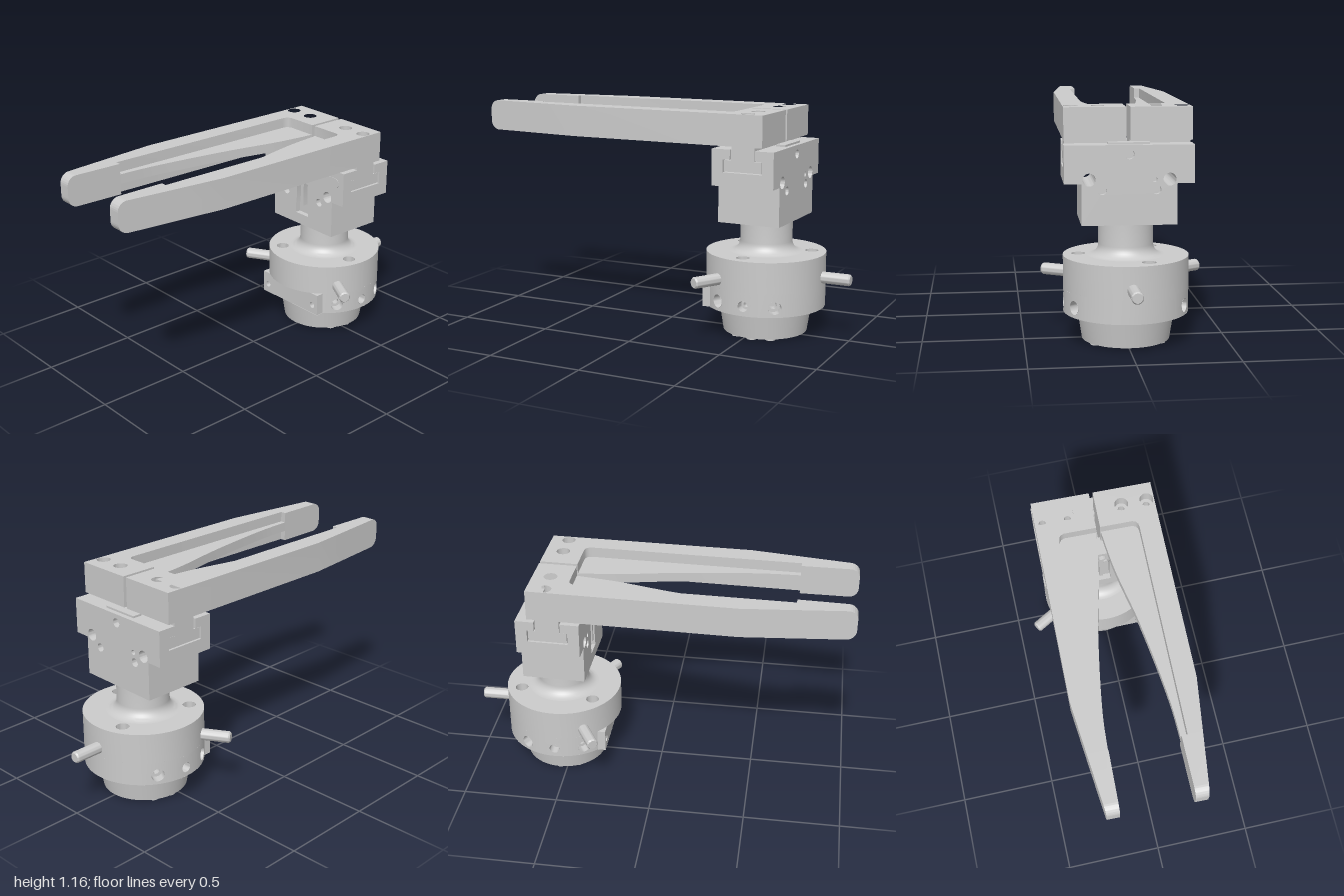
import * as THREE from 'three';
import { toCreasedNormals } from 'three/addons/utils/BufferGeometryUtils.js';

const grey = new THREE.MeshStandardMaterial({ color: 0xcccccc });
const thin = new THREE.MeshStandardMaterial({ color: 0xcccccc, side: THREE.DoubleSide });
const PI = Math.PI, UP = new THREE.Vector3(0, 1, 0);
const R = 0.31; // radius of the base disc

function add(parent, name, geo, mat = grey, crease = true) {
  const mesh = new THREE.Mesh(crease ? toCreasedNormals(geo, 0.6) : geo, mat);
  mesh.name = name;
  parent.add(mesh);
  return mesh;
}
const poly = (pts) => new THREE.Shape(pts.map(([x, y]) => new THREE.Vector2(x, y)));
const lathe = (pts, seg = 72) => new THREE.LatheGeometry(pts.map(([x, y]) => new THREE.Vector2(x, y)), seg);
const circle = (x, y, r) => new THREE.Path().absarc(x, y, r, 0, PI * 2, true);
const extrude = (shape, depth) =>
  new THREE.ExtrudeGeometry(shape, { depth, bevelEnabled: false, curveSegments: 20 });
// Plan outline (x, z) raised from y0 to y1
const slab = (shape, y0, y1) => extrude(shape, y1 - y0).rotateX(PI / 2).translate(0, y1, 0);
// Side outline (z, y) swept from x0 to x1
const sweepX = (shape, x0, x1) => extrude(shape, x1 - x0).rotateY(-PI / 2).translate(x1, 0, 0);

// Blind hole lining, open towards dir, with an optional narrower second step
function well(parent, r, depth, pos, dir, r2 = 0) {
  const pts = [[r, 0], [r, -depth]];
  if (r2) pts.push([r2, -depth], [r2, -depth * 2], [0, -depth * 2]);
  else pts.push([0, -depth]);
  const m = add(parent, 'hole', lathe(pts, 24), thin);
  m.position.copy(pos);
  m.quaternion.setFromUnitVectors(UP, dir);
}

// Curved wall piece with a radial hole
function wallPatch(parent, angle, r) {
  const w = PI / 12, n = 8, low = [], high = [];
  for (let i = 0; i <= n; i++) {
    const u = (-w + (2 * w * i) / n) * R;
    low.push([u, 0.15]);
    high.unshift([u, 0.27]);
  }
  const shape = poly([...low, ...high]);
  shape.holes.push(circle(0, 0.2, r));
  const g = new THREE.ShapeGeometry(shape, 16), p = g.attributes.position, nor = g.attributes.normal;
  for (let i = 0; i < p.count; i++) {
    const a = angle - p.getX(i) / R;
    p.setXYZ(i, Math.cos(a) * R, p.getY(i), Math.sin(a) * R);
    nor.setXYZ(i, Math.cos(a), 0, Math.sin(a));
  }
  add(parent, 'discWall', g, thin, false);
  const d = new THREE.Vector3(Math.cos(angle), 0, Math.sin(angle));
  well(parent, r, 0.05, d.clone().multiplyScalar(R).setY(0.2), d, r * 0.55);
}

function buildBase() {
  const base = new THREE.Group();
  base.name = 'base';
  // Hollow tapered foot with screw heads
  add(base, 'foot', lathe([[0.15, 0.26], [0.15, 0.01], [0.218, 0.01], [0.24, 0.15]]), thin);
  for (const s of [0, PI]) for (const k of [-1, 0, 1]) {
    const a = s + (k * PI) / 6;
    add(base, 'footScrew', new THREE.CylinderGeometry(0.026, 0.026, 0.014, 20)
      .translate(Math.cos(a) * 0.184, 0.007, Math.sin(a) * 0.184));
  }
  // Upper disc rim and neck
  add(base, 'discRim', lathe([[0, 0.27], [R, 0.27], [R, 0.43]]), thin);
  const neck = [];
  for (let i = 0; i <= 8; i++) {
    const a = (i / 8) * PI / 2;
    neck.push([0.19 - 0.055 * Math.sin(a), 0.485 - 0.055 * Math.cos(a)]);
  }
  add(base, 'neck', lathe([...neck, [0.135, 0.61]]), thin);
  // Disc top with three mounting holes
  const top = new THREE.Shape().absarc(0, 0, R, 0, PI * 2);
  top.holes.push(circle(0, 0, 0.188));
  for (let i = 0; i < 3; i++) {
    const a = 0.147 + (i * PI * 2) / 3, x = Math.cos(a) * 0.235, z = Math.sin(a) * 0.235;
    top.holes.push(circle(x, -z, 0.034));
    well(base, 0.034, 0.05, new THREE.Vector3(x, 0.43, z), UP, 0.02);
  }
  add(base, 'discTop', new THREE.ShapeGeometry(top, 72).rotateX(-PI / 2).translate(0, 0.43, 0), thin);
  // Lower wall: drilled on both sides, plain at the back
  for (const s of [0, PI]) for (const k of [-1, 0, 1]) wallPatch(base, s + (k * PI) / 6, k ? 0.034 : 0.027);
  add(base, 'discBackWall',
    new THREE.CylinderGeometry(R, R, 0.12, 24, 1, true, PI * 0.75, PI / 2).translate(0, 0.21, 0), thin);
  // Underside with small holes
  const under = new THREE.Shape();
  under.moveTo(0.219, 0.262).lineTo(-0.219, 0.262);
  under.absarc(0, 0, R, PI * 0.75, PI * 2.25);
  under.holes.push(circle(0, 0, 0.2));
  for (let i = 0; i < 6; i++) {
    const a = PI / 12 + (i * PI) / 3, x = Math.cos(a) * 0.27, z = Math.sin(a) * 0.27;
    if (z > 0.24) continue;
    under.holes.push(circle(x, z, 0.02));
    well(base, 0.02, 0.03, new THREE.Vector3(x, 0.15, z), new THREE.Vector3(0, -1, 0));
  }
  add(base, 'discUnderside', new THREE.ShapeGeometry(under, 48).rotateX(PI / 2).translate(0, 0.15, 0), thin);
  // Flat front plate
  const plate = poly([[-0.219, 0.151], [0.219, 0.151], [0.219, 0.27], [-0.219, 0.27]]);
  for (const x of [-0.18, 0.18]) {
    plate.holes.push(circle(x, 0.2, 0.017));
    well(base, 0.017, 0.03, new THREE.Vector3(x, 0.2, 0.262), new THREE.Vector3(0, 0, 1));
  }
  add(base, 'frontPlate', extrude(plate, 0.08).translate(0, 0, 0.182));
  // Three radial rods
  for (let i = 0; i < 3; i++) {
    const rod = add(base, 'rod', lathe([[0, 0.25], [0.03, 0.25], [0.03, 0.452], [0.024, 0.46], [0, 0.46]], 28));
    rod.rotation.set(-PI / 2, 0, (i * PI * 2) / 3, 'YXZ');
    rod.rotation.set(-PI / 2, (i * PI * 2) / 3, 0, 'YXZ');
    rod.position.y = 0.315;
  }
  return base;
}

function bodyOutline(top) {
  return poly([[-0.23, 0.6], [0.23, 0.6], [0.23, 0.8], [0.312, 0.8], [0.312, top], [-0.312, top],
    [-0.312, 0.8], [-0.23, 0.8]]);
}

function buildBody(parent) {
  const body = new THREE.Group();
  body.name = 'gripperBody';
  parent.add(body);
  const through = [[-0.193, 0.82, 0.031], [0.193, 0.82, 0.031]];
  const blind = [[-0.13, 0.77, 0.022], [0.13, 0.77, 0.022], [0, 0.94, 0.023], [-0.12, 0.82, 0.013]];
  const drill = (shape, list) => list.forEach((h) => shape.holes.push(circle(...h)));
  // Core block
  const core = bodyOutline(0.87);
  drill(core, through);
  add(body, 'core', extrude(core, 0.27).translate(0, 0, -0.67));
  // Guide rails forming a T slot
  for (const m of [1, -1]) {
    const rail = poly([[0.135, 0.87], [0.105, 0.87], [0.105, 0.935], [0.067, 0.935], [0.067, 0.985], [0.135, 0.985]]
      .map(([z, y]) => [-0.535 + m * z, y]));
    add(body, 'guideRail', sweepX(rail, -0.312, 0.312));
  }
  // Front and back faces
  const front = bodyOutline(0.985), back = bodyOutline(0.985);
  for (const f of [front, back]) drill(f, [...through, ...blind]);
  const fork = new THREE.Path();
  fork.moveTo(-0.053, 0.66).lineTo(0.047, 0.66).lineTo(0.047, 0.715).lineTo(0.042, 0.715);
  fork.absarc(0.0245, 0.893, 0.0175, 0, PI).lineTo(0.007, 0.715).lineTo(-0.013, 0.715);
  fork.absarc(-0.0305, 0.893, 0.0175, 0, PI).lineTo(-0.048, 0.715).lineTo(-0.053, 0.715);
  front.holes.push(fork);
  add(body, 'frontFace', extrude(front, 0.03).translate(0, 0, -0.4));
  add(body, 'backFace', extrude(back, 0.03).translate(0, 0, -0.7));
  add(body, 'slotScrew', new THREE.CylinderGeometry(0.014, 0.014, 0.02, 20).rotateX(PI / 2).translate(0.0245, 0.855, -0.39));
  const label = new THREE.Shape().absarc(0.085, 0.918, 0.027, PI / 2, PI * 1.5).absarc(0.25, 0.918, 0.027, -PI / 2, PI / 2);
  add(body, 'frontInlay', extrude(label, 0.004).translate(0, 0, -0.372));
  add(body, 'topCover', new THREE.BoxGeometry(0.2, 0.02, 0.05).translate(0, 0.985, -0.65));
}

function buildFinger(parent, s) {
  const finger = new THREE.Group();
  finger.name = s > 0 ? 'leftFinger' : 'rightFinger';
  parent.add(finger);
  const flip = (pts) => poly(pts.map(([x, z]) => [x * s, z]));
  const span = (a, b) => (s > 0 ? [a, b] : [-b, -a]);
  // Sliding jaw in the T slot
  const jaw = poly([[-0.1, 0.874], [0.1, 0.874], [0.1, 0.931], [0.062, 0.931], [0.062, 1.0],
    [-0.062, 1.0], [-0.062, 0.931], [-0.1, 0.931]].map(([z, y]) => [z - 0.535, y]));
  add(finger, 'jaw', sweepX(jaw, ...span(0.01, 0.306)));
  // Base block and outer beam
  const beam = flip([[0.01, -0.638], [0.31, -0.638], [0.31, 0.43], [0.279, 0.7], [0.205, 0.7],
    [0.205, -0.4], [0.202, -0.42], [0.193, -0.433], [0.175, -0.44], [0.01, -0.44]]);
  for (const x of [0.14, 0.27]) {
    beam.holes.push(circle(x * s, -0.545, 0.035));
    add(finger, 'boltSeat', lathe([[0.018, 1.0], [0.035, 1.0], [0.035, 1.1], [0.018, 1.1], [0.018, 1.0]], 24), thin)
      .position.set(x * s, 0, -0.545);
  }
  add(finger, 'beam', slab(beam, 1.0, 1.16));
  // Thin curved web on the inner side
  const edge = new THREE.CatmullRomCurve3([[0.176, 0.71], [0.165, 0.51], [0.104, 0.085], [0.039, -0.23], [0.012, -0.45]]
    .map(([x, z]) => new THREE.Vector3(x, 0, z))).getPoints(24).map((p) => [p.x, p.z]);
  add(finger, 'web', slab(flip([[0.21, -0.45], [0.21, 0.71], ...edge]), 1.055, 1.105));
  // Tapered tip with rounded end
  const r = 0.05, side = new THREE.Shape();
  side.moveTo(0.7, 1.0).lineTo(1 - r, 1.0);
  side.absarc(1 - r, 1.0 + r, r, -PI / 2, 0).absarc(1 - r, 1.16 - r, r, 0, PI / 2).lineTo(0.7, 1.16);
  const tip = extrude(side, 1).rotateY(-PI / 2).translate(1, 0, 0), p = tip.attributes.position;
  for (let i = 0; i < p.count; i++) {
    const k = (p.getZ(i) - 0.7) / 0.3;
    const [lo, hi] = span(0.175 + 0.005 * k, 0.279 - 0.035 * k);
    p.setX(i, lo + (hi - lo) * p.getX(i));
  }
  add(finger, 'tip', tip);
}

export function createModel() {
  const model = new THREE.Group();
  model.name = 'gripper';
  const base = buildBase();
  base.position.set(-0.005, 0, -0.54);
  model.add(base);
  // Gripper head, turned slightly about the base axis
  const head = new THREE.Group(), inner = new THREE.Group();
  head.name = 'head';
  inner.name = 'headParts';
  head.position.set(-0.007, 0, -0.54);
  head.rotation.y = -0.019;
  inner.position.z = 0.54;
  head.add(inner);
  model.add(head);
  buildBody(inner);
  for (const s of [1, -1]) buildFinger(inner, s);
  return model;
}
